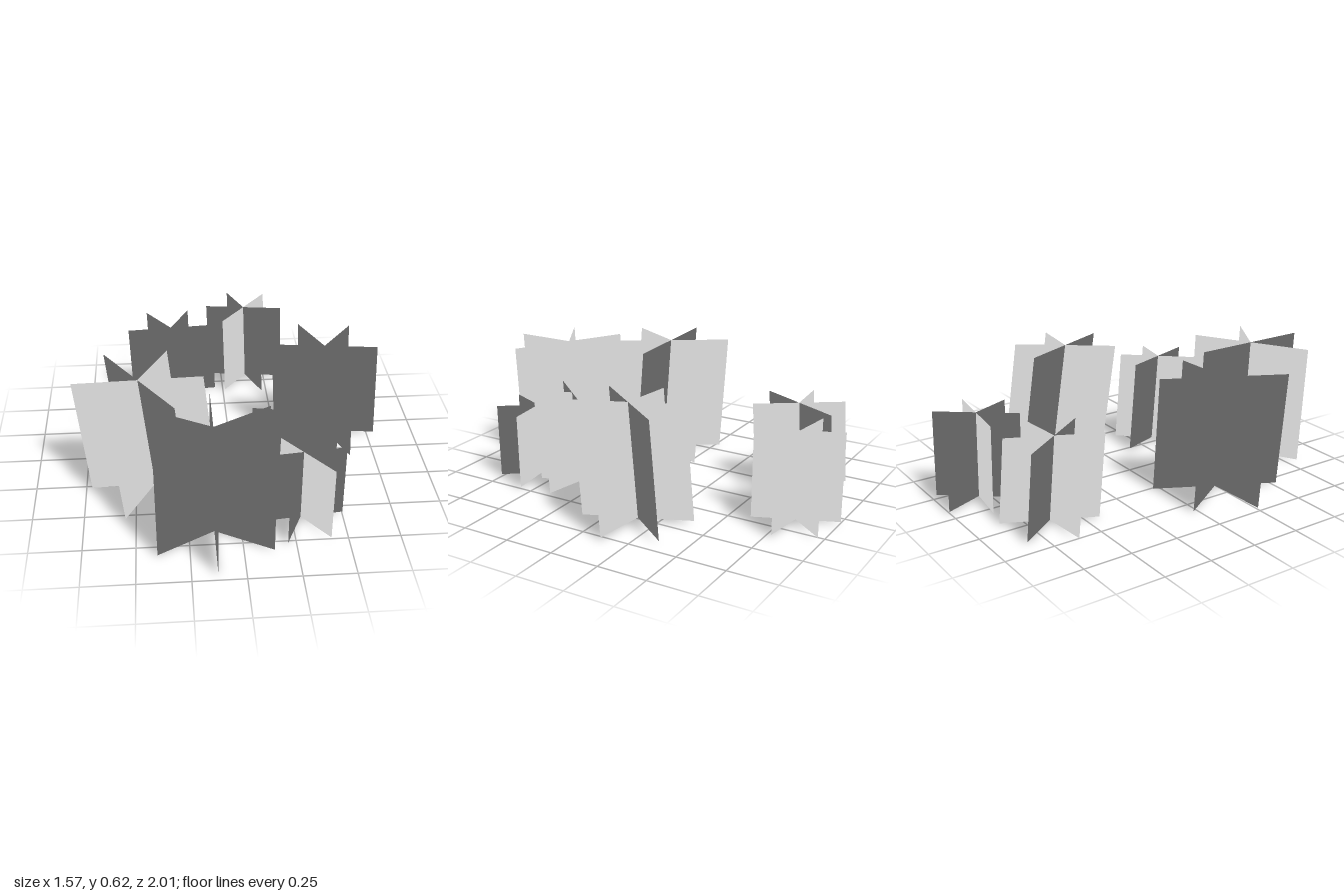
import * as THREE from 'three';

// One tuft: three crossed upright cards, sheared so that the top drifts from the base.
// Upward normals keep the foliage evenly shaded.
function tuftGeometry({ base, top, y0, y1, radius, angle }) {
  const pos = [], norm = [], index = [];
  for (let k = 0; k < 3; k++) {
    const a = THREE.MathUtils.degToRad(angle + 60 * k);
    const dx = Math.cos(a) * radius, dz = Math.sin(a) * radius;
    const o = pos.length / 3;
    for (const [c, y] of [[base, y0], [top, y1]]) {
      for (const s of [-1, 1]) {
        pos.push(c[0] + s * dx, y, c[1] + s * dz);
        norm.push(0, 1, 0);
      }
    }
    index.push(o, o + 1, o + 3, o, o + 3, o + 2);
  }
  const g = new THREE.BufferGeometry();
  g.setAttribute('position', new THREE.Float32BufferAttribute(pos, 3));
  g.setAttribute('normal', new THREE.Float32BufferAttribute(norm, 3));
  g.setIndex(index);
  return g;
}

// base and top are the [x, z] ends of each tuft's central axis
const TUFTS = [
  { name: 'rightTuft', base: [-0.405, 0.248], top: [-0.467, 0.237], y0: 0, y1: 0.605, radius: 0.317, angle: -2.5 },
  { name: 'frontTuft', base: [-0.129, 0.657], top: [-0.13, 0.688], y0: 0.004, y1: 0.615, radius: 0.314, angle: 30 },
  { name: 'innerSmallTuft', base: [0.285, 0.345], top: [0.28, 0.38], y0: 0.01, y1: 0.487, radius: 0.206, angle: 11.2 },
  { name: 'frontSmallTuft', base: [0.293, 0.584], top: [0.296, 0.587], y0: 0.01, y1: 0.39, radius: 0.21, angle: -6.5 },
  { name: 'leftTuft', base: [0.517, -0.156], top: [0.487, -0.088], y0: 0.015, y1: 0.577, radius: 0.27, angle: 7.3 },
  { name: 'backRightTuft', base: [-0.281, -0.647], top: [-0.292, -0.616], y0: 0.01, y1: 0.437, radius: 0.236, angle: -4.5 },
  { name: 'backTuft', base: [0.142, -0.806], top: [0.129, -0.803], y0: 0.01, y1: 0.457, radius: 0.213, angle: 7.7 },
];

export function createModel() {
  const group = new THREE.Group();
  group.name = 'grassPatch';
  const grey = new THREE.MeshStandardMaterial({ color: 0xcccccc, side: THREE.DoubleSide });
  grey.name = 'light grey';
  for (const t of TUFTS) {
    const mesh = new THREE.Mesh(tuftGeometry(t), grey);
    mesh.name = t.name;
    group.add(mesh);
  }
  return group;
}
